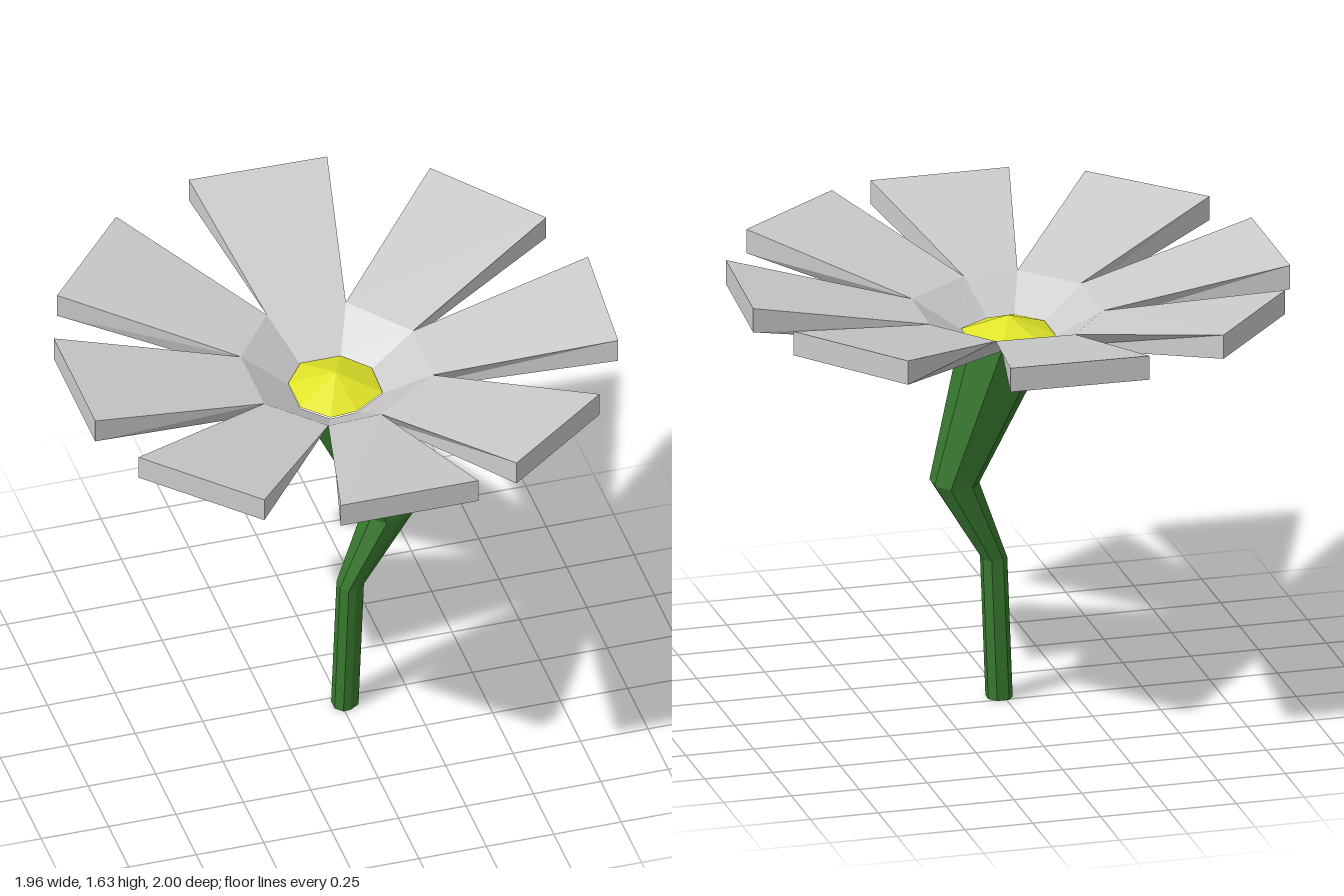
import * as THREE from 'three';

// Eight-sided outlines as [x, z], going clockwise seen from above
const CORE = [[-0.09, -0.16], [0.06, -0.16], [0.145, -0.06], [0.14, 0.09], [0.02, 0.17], [-0.08, 0.18], [-0.165, 0.09], [-0.165, -0.06]];
const CUP = [[-0.16, -0.34], [0.13, -0.33], [0.31, -0.1], [0.3, 0.17], [0.06, 0.34], [-0.14, 0.35], [-0.32, 0.16], [-0.32, -0.13]];
// Two tip corners per petal
const TIPS = [
  [[-0.25, -1], [0.26, -0.99]], [[0.59, -0.82], [0.9, -0.42]],
  [[0.975, -0.155], [0.935, 0.35]], [[0.78, 0.635], [0.38, 0.94]],
  [[0.22, 1], [-0.29, 1]], [[-0.54, 0.89], [-0.895, 0.52]],
  [[-0.98, 0.27], [-0.98, -0.24]], [[-0.895, -0.48], [-0.56, -0.865]],
];
const SIDES = CORE.length;
const BASE_Y = 1.38, CUP_Y = 1.485, TIP_LOW = 1.54, TIP_TOP = 1.63;

const at = ([x, z], y) => [x, y, z];

// Builds one flat-shaded mesh from faces with three or four corners
function facesMesh(name, faces, color) {
  const positions = [];
  for (const [a, b, c, d] of faces) {
    positions.push(...a, ...b, ...c);
    if (d) positions.push(...a, ...c, ...d);
  }
  const geometry = new THREE.BufferGeometry();
  geometry.setAttribute('position', new THREE.Float32BufferAttribute(positions, 3));
  geometry.computeVertexNormals();
  const mesh = new THREE.Mesh(geometry, new THREE.MeshStandardMaterial({ color, flatShading: true }));
  mesh.name = name;
  return mesh;
}

// Petal wedge: thick at the tip, tapering to the stem top, with its slice of the cup
function petal(k) {
  const n = (k + 1) % SIDES;
  const [a, b] = TIPS[k];
  const baseA = at(CORE[k], BASE_Y), baseB = at(CORE[n], BASE_Y);
  const cupA = at(CUP[k], CUP_Y), cupB = at(CUP[n], CUP_Y);
  const topA = at(a, TIP_TOP), topB = at(b, TIP_TOP);
  const lowA = at(a, TIP_LOW), lowB = at(b, TIP_LOW);
  return facesMesh('petal' + (k + 1), [
    [baseA, baseB, cupB, cupA], // cup slope
    [cupA, cupB, topB, topA], // upper face
    [baseA, lowA, lowB, baseB], // underside
    [topA, topB, lowB, lowA], // tip
    [cupA, topA, lowA, baseA], // side walls
    [baseB, lowB, topB, cupB],
  ], 0xcccccc);
}

// Bent stem: the core outline scaled and shifted at each height
function stem() {
  const sections = [
    { x: 0.015, z: 0.04, y: 0, s: 0.29 },
    { x: 0.035, z: 0.04, y: 0.53, s: 0.29 },
    { x: 0.18, z: 0.04, y: 0.83, s: 0.53 },
    { x: -0.01, z: 0.01, y: BASE_Y, s: 1 },
  ];
  const rings = sections.map(({ x, y, z, s }) =>
    CORE.map(([px, pz]) => [x + (px + 0.01) * s, y, z + (pz - 0.01) * s]));
  const faces = [];
  for (let k = 0; k < SIDES; k++) {
    const n = (k + 1) % SIDES;
    for (let i = 0; i < rings.length - 1; i++) {
      faces.push([rings[i + 1][k], rings[i + 1][n], rings[i][n], rings[i][k]]);
    }
    faces.push([[sections[0].x, 0, sections[0].z], rings[0][k], rings[0][n]]); // foot cap
  }
  return facesMesh('stem', faces, 0x38792f);
}

// Low cone in the middle of the cup
function flowerCentre() {
  const apex = [-0.01, 1.45, 0.01];
  const faces = CORE.map((p, k) => [apex, at(CORE[(k + 1) % SIDES], BASE_Y + 0.005), at(p, BASE_Y + 0.005)]);
  return facesMesh('flowerCentre', faces, 0xe0e428);
}

export function createModel() {
  const model = new THREE.Group();
  model.name = 'flower';
  const petals = new THREE.Group();
  petals.name = 'petals';
  for (let k = 0; k < SIDES; k++) petals.add(petal(k));
  model.add(stem(), petals, flowerCentre());
  return model;
}
